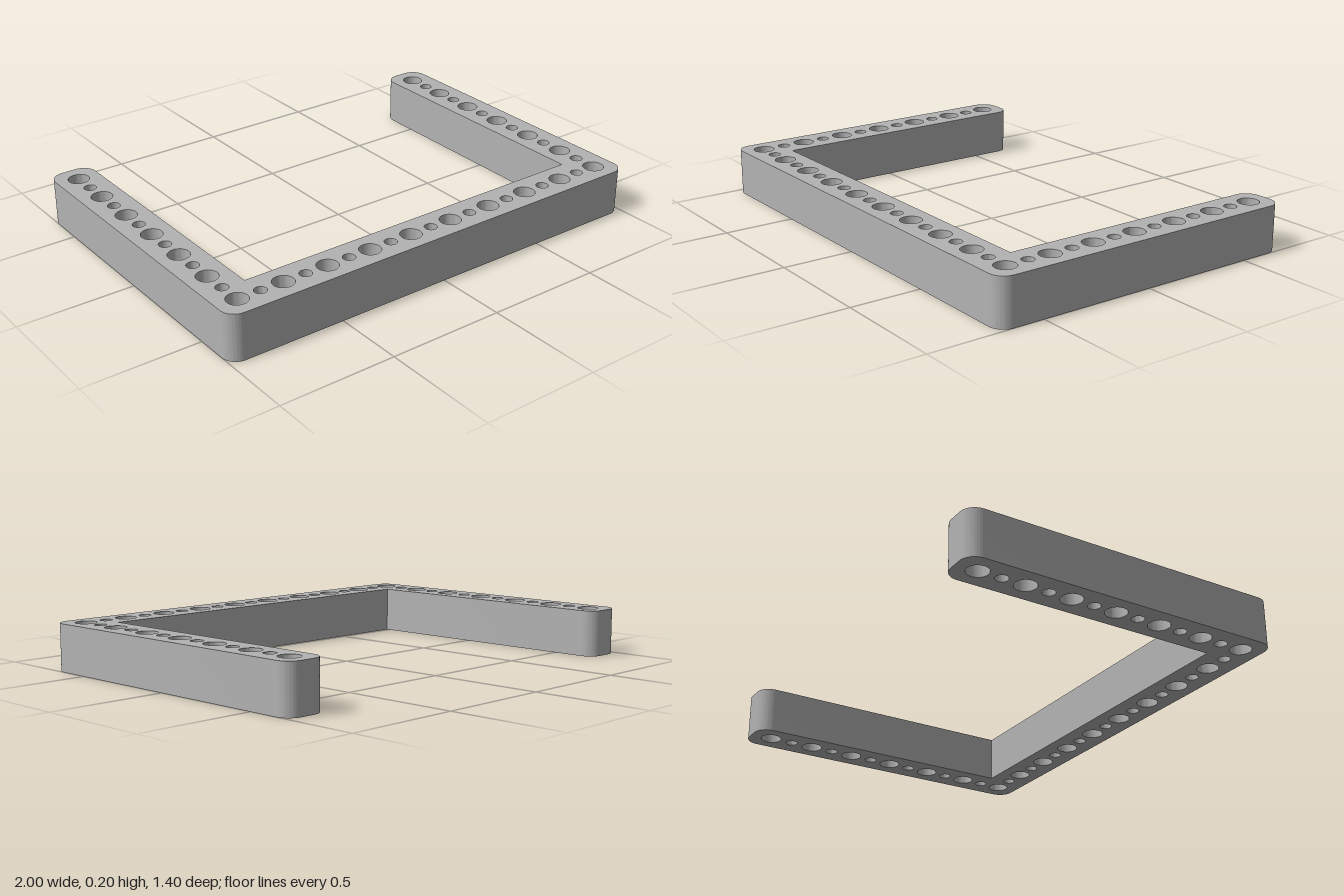
import * as THREE from 'three';
import { toCreasedNormals } from 'three/addons/utils/BufferGeometryUtils.js';

const PITCH = 0.2015;            // spacing of the large holes
const X = 4.5 * PITCH;           // centre line of the side arms
const Z = 3 * PITCH;             // centre line of the front bar
const HALF = 0.0932;             // half the beam width
const HEIGHT = 0.2;
const CORNER = 0.063;
const BIG = 0.0445, SMALL = 0.026;

export function createModel() {
  const grey = new THREE.MeshStandardMaterial({ color: 0xb3b3b3 });
  grey.name = 'grey';

  // U-shaped outline with rounded outer corners (shape y is -z)
  const ox = X + HALF, ix = X - HALF, oz = Z + HALF, iz = Z - HALF, r = CORNER;
  const outline = new THREE.Shape();
  const corner = (x, y, start) => outline.absarc(x, y, r, start, start + Math.PI / 2, false);
  outline.moveTo(-ox + r, -oz);
  corner(ox - r, -oz + r, -Math.PI / 2);
  corner(ox - r, oz - r, 0);
  corner(ix + r, oz - r, Math.PI / 2);
  outline.lineTo(ix, -iz);
  outline.lineTo(-ix, -iz);
  corner(-ix - r, oz - r, 0);
  corner(-ox + r, oz - r, Math.PI / 2);
  corner(-ox + r, -oz + r, Math.PI);

  // Alternating large and small through holes along the bar and both arms
  const hole = (x, y, i) => {
    const path = new THREE.Path();
    path.absarc(x, y, i % 2 ? SMALL : BIG, 0, Math.PI * 2, true);
    outline.holes.push(path);
  };
  for (let i = 0; i <= 18; i++) hole(-X + i * PITCH / 2, -Z, i);
  for (const side of [-1, 1])
    for (let i = 1; i <= 12; i++) hole(side * X, -Z + i * PITCH / 2, i);

  let geometry = new THREE.ExtrudeGeometry(outline, {
    depth: HEIGHT, bevelEnabled: false, curveSegments: 16,
  });
  geometry.rotateX(-Math.PI / 2);
  geometry = toCreasedNormals(geometry, 0.6);

  const frame = new THREE.Mesh(geometry, grey);
  frame.name = 'perforatedFrame';
  const group = new THREE.Group();
  group.name = 'uFrame';
  group.add(frame);
  return group;
}
